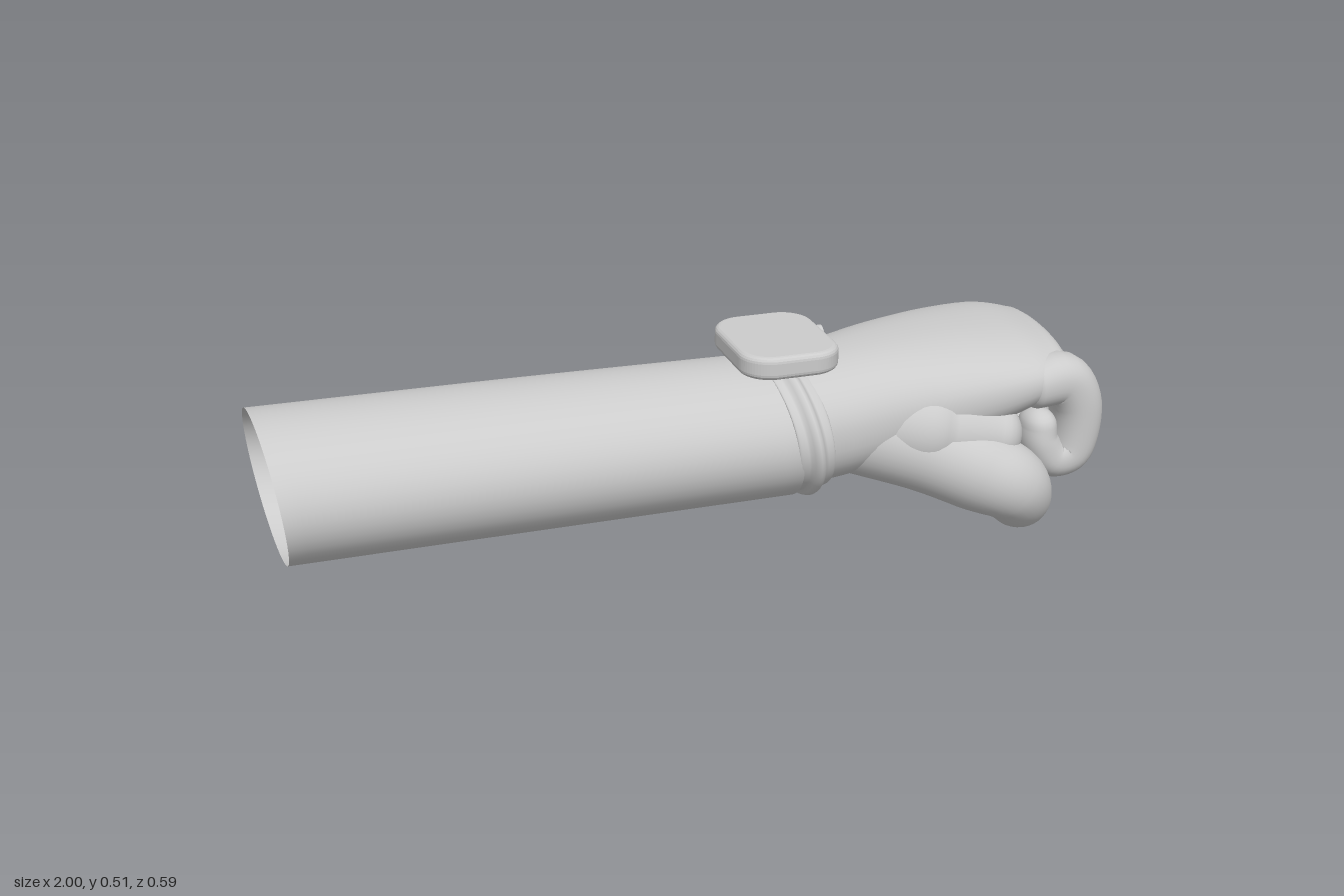
import * as THREE from 'three';

const material = new THREE.MeshStandardMaterial({ color: 0xcccccc, roughness: 0.7, side: THREE.DoubleSide });

// Smooth loft through sections [x, y, z, rNormal, rSide]; cap = [start, end] lengths of rounded ends (0 = open).
function loft(name, sections, { side = [0, 0, 1], cap = [0, 0], steps = 28, sides = 36, power = 2 } = {}) {
  const path = new THREE.CatmullRomCurve3(sections.map(s => new THREE.Vector3(s[0], s[1], s[2])));
  const radii = new THREE.CatmullRomCurve3(sections.map(s => new THREE.Vector3(s[3], s[4] ?? s[3], 0)));
  const ref = new THREE.Vector3(...side);
  const rings = [];
  const addRing = (u, offset, scale) => {
    const t = path.getTangent(u), r = radii.getPoint(u);
    const s = ref.clone().addScaledVector(t, -ref.dot(t)).normalize();
    rings.push({ p: path.getPoint(u).addScaledVector(t, offset), s, n: t.clone().cross(s), a: r.y * scale, b: r.x * scale });
  };
  const K = 6;
  if (cap[0]) for (let k = K; k > 0; k--) {
    const q = (k / K) * Math.PI / 2;
    addRing(0, -Math.sin(q) * cap[0], Math.cos(q));
  }
  for (let i = 0; i <= steps; i++) addRing(i / steps, 0, 1);
  if (cap[1]) for (let k = 1; k <= K; k++) {
    const q = (k / K) * Math.PI / 2;
    addRing(1, Math.sin(q) * cap[1], Math.cos(q));
  }
  const round = v => Math.sign(v) * Math.abs(v) ** (2 / power);
  const pos = [], index = [];
  rings.forEach(({ p, s, n, a, b }, i) => {
    for (let j = 0; j < sides; j++) {
      const q = (j / sides) * Math.PI * 2;
      const v = p.clone().addScaledVector(s, a * round(Math.cos(q))).addScaledVector(n, b * round(Math.sin(q)));
      pos.push(v.x, v.y, v.z);
      if (i === rings.length - 1) continue;
      const j1 = (j + 1) % sides, A = i * sides, B = A + sides;
      index.push(A + j, A + j1, B + j, A + j1, B + j1, B + j);
    }
  });
  const geo = new THREE.BufferGeometry();
  geo.setAttribute('position', new THREE.Float32BufferAttribute(pos, 3));
  geo.setIndex(index);
  geo.computeVertexNormals();
  const mesh = new THREE.Mesh(geo, material);
  mesh.name = name;
  return mesh;
}

// Slants the rings of the sleeve and strap
function slant(mesh) {
  const p = mesh.geometry.attributes.position;
  for (let i = 0; i < p.count; i++) p.setX(i, p.getX(i) - 0.11 * (p.getY(i) - 0.295) + 0.06 * p.getZ(i));
  mesh.geometry.computeVertexNormals();
  return mesh;
}

function roundedRect(w, h, r) {
  const s = new THREE.Shape(), x = w / 2 - r, y = h / 2 - r;
  s.absarc(x, y, r, 0, Math.PI / 2);
  s.absarc(-x, y, r, Math.PI / 2, Math.PI);
  s.absarc(-x, -y, r, Math.PI, Math.PI * 1.5);
  s.absarc(x, -y, r, Math.PI * 1.5, Math.PI * 2);
  return s;
}

function createHand() {
  const hand = new THREE.Group();
  hand.name = 'hand';

  // Wrist and back of the hand
  hand.add(loft('palm', [
    [0.12, 0.295, -0.008, 0.15, 0.195],
    [0.30, 0.307, -0.012, 0.15, 0.200],
    [0.40, 0.320, -0.015, 0.148, 0.205],
    [0.55, 0.340, -0.035, 0.138, 0.235],
    [0.70, 0.365, -0.045, 0.118, 0.252],
    [0.82, 0.385, -0.045, 0.093, 0.250],
    [0.89, 0.386, -0.040, 0.076, 0.228],
  ], { cap: [0, 0.055], power: 2.25, sides: 48 }));

  // Curled fingers: [name, z at knuckle, z at tip, half width, x shift, lowest y]
  const fingers = [
    ['indexFinger', 0.142, 0.138, 0.066, 0.006, 0.122],
    ['middleFinger', 0.018, 0.018, 0.066, 0, 0.105],
    ['ringFinger', -0.108, -0.105, 0.061, -0.018, 0.115],
    ['littleFinger', -0.226, -0.208, 0.057, -0.058, 0.14],
  ];
  for (const [name, z0, z1, w, dx, low] of fingers) {
    const y = low + 0.055;
    hand.add(loft(name, [
      [0.81 + dx, 0.375, z0, 0.06, w],
      [0.885 + dx, 0.377, z0, 0.064, w],
      [0.924 + dx, 0.32, z0, 0.062, w],
      [0.928 + dx, 0.235, (z0 + z1) / 2, 0.058, w],
      [0.912 + dx, y + 0.012, z1, 0.055, w],
      [0.868 + dx, y + 0.004, z1, 0.052, w * 0.95],
      [0.835 + dx, y + 0.05, z1, 0.046, w * 0.9],
      [0.832 + dx, y + 0.09, z1, 0.042, w * 0.82],
    ], { cap: [0.03, 0.04], steps: 36, power: 2.2 }));
  }

  // Thumb wrapping below the fingers, and the web joining it to the palm
  hand.add(loft('thumb', [
    [0.40, 0.285, 0.07, 0.11],
    [0.55, 0.235, 0.125, 0.105],
    [0.66, 0.19, 0.175, 0.103],
    [0.74, 0.15, 0.2, 0.092],
    [0.79, 0.09, 0.16, 0.078],
    [0.82, 0.068, 0.085, 0.06],
    [0.83, 0.066, 0.03, 0.05],
  ], { side: [1, 1, 0], cap: [0.08, 0.046], steps: 40 }));
  hand.add(loft('thumbWeb', [
    [0.42, 0.31, 0.07, 0.1],
    [0.60, 0.28, 0.125, 0.1],
    [0.72, 0.26, 0.155, 0.075],
  ], { cap: [0.08, 0.06] }));
  return hand;
}

function createWatch() {
  const watch = new THREE.Group();
  watch.name = 'watch';

  // Strap around the wrist
  watch.add(slant(loft('strap', [
    [0.185, 0.297, -0.012, 0.145, 0.195],
    [0.19, 0.297, -0.012, 0.157, 0.215],
    [0.215, 0.298, -0.012, 0.163, 0.222],
    [0.25, 0.299, -0.012, 0.163, 0.222],
    [0.275, 0.300, -0.012, 0.157, 0.215],
    [0.28, 0.300, -0.012, 0.145, 0.195],
  ], { sides: 56 })));

  // Case with rounded corners and softened rim
  const bevel = 0.014;
  const caseGeo = new THREE.ExtrudeGeometry(roundedRect(0.24 - 2 * bevel, 0.302 - 2 * bevel, 0.06), {
    depth: 0.055 - 2 * bevel, bevelEnabled: true, bevelThickness: bevel, bevelSize: bevel, bevelSegments: 4, curveSegments: 8,
  });
  caseGeo.rotateX(-Math.PI / 2);
  const body = new THREE.Mesh(caseGeo, material);
  body.name = 'watchCase';
  body.position.set(0.215, 0.461 + bevel, -0.004);
  watch.add(body);

  // Crown on the hand side
  const crown = new THREE.Mesh(new THREE.CylinderGeometry(0.023, 0.023, 0.02, 24), material);
  crown.name = 'crown';
  crown.rotation.z = Math.PI / 2;
  crown.position.set(0.338, 0.483, -0.054);
  watch.add(crown);
  return watch;
}

export function createModel() {
  const model = new THREE.Group();
  model.name = 'forearmWithWatch';

  // Open sleeve of the forearm
  model.add(slant(loft('forearm', [
    [-0.977, 0.295, -0.01, 0.17, 0.22],
    [-0.4, 0.293, -0.01, 0.168, 0.217],
    [0.2, 0.289, -0.009, 0.164, 0.211],
  ], { sides: 48 })));
  model.add(createHand(), createWatch());
  return model;
}
